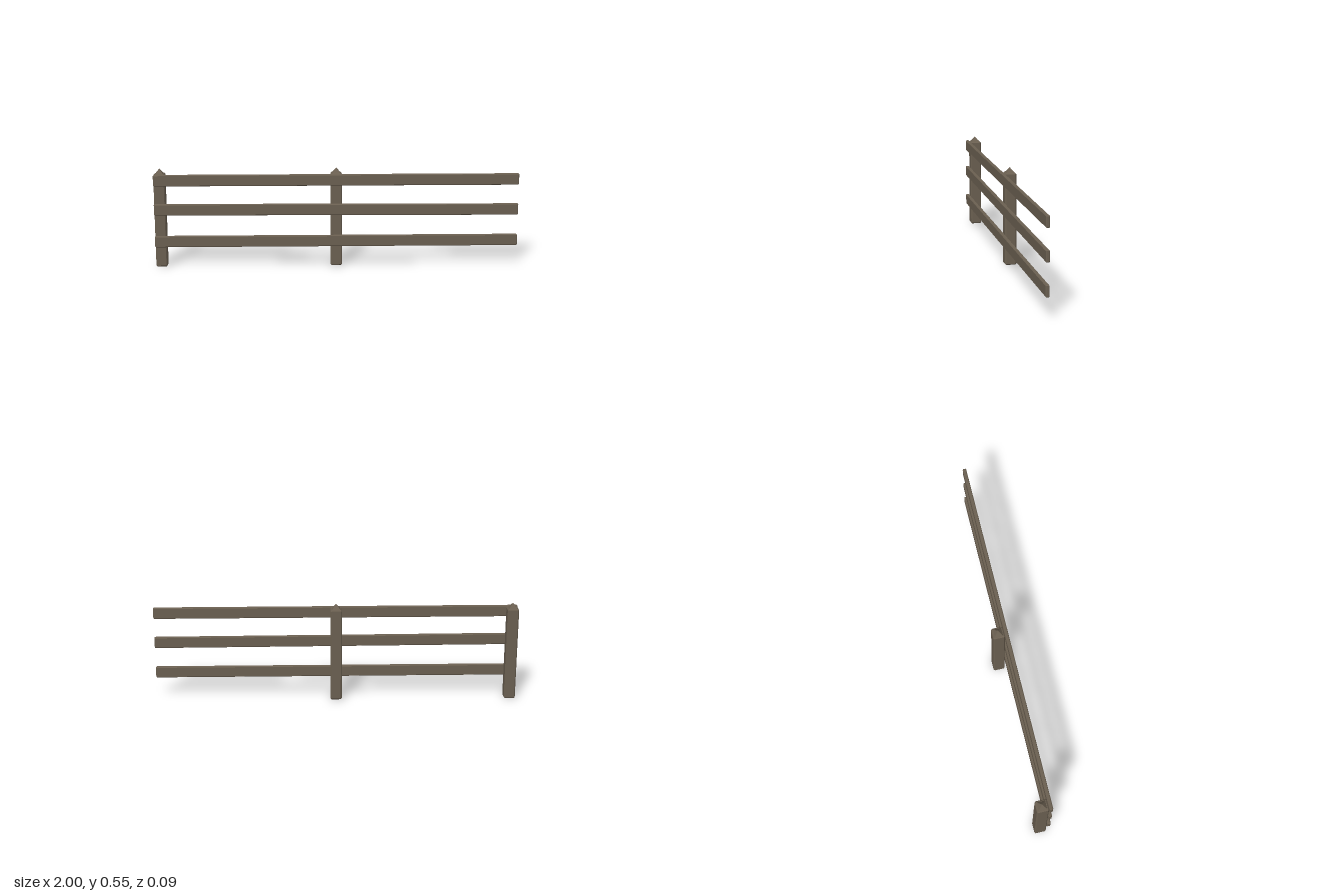
import * as THREE from 'three';
import { ConvexGeometry } from 'three/addons/geometries/ConvexGeometry.js';

const wood = new THREE.MeshStandardMaterial({ color: 0x6b6051 });
wood.name = 'weathered wood';

// Box with bevelled edges: each corner is cut into three points.
function bevelledBox(w, h, d, b) {
  const points = [];
  for (const sx of [-1, 1]) for (const sy of [-1, 1]) for (const sz of [-1, 1]) {
    const x = w / 2, y = h / 2, z = d / 2;
    points.push(
      new THREE.Vector3(sx * x, sy * (y - b), sz * (z - b)),
      new THREE.Vector3(sx * (x - b), sy * y, sz * (z - b)),
      new THREE.Vector3(sx * (x - b), sy * (y - b), sz * z)
    );
  }
  return new ConvexGeometry(points);
}

function part(name, geometry, x, y, z) {
  const mesh = new THREE.Mesh(geometry, wood);
  mesh.name = name;
  mesh.position.set(x, y, z);
  return mesh;
}

export function createModel() {
  const fence = new THREE.Group();
  fence.name = 'fence';

  // Square posts with a small pyramid on top
  const postGeometry = bevelledBox(0.062, 0.52, 0.064, 0.006);
  const capGeometry = new THREE.ConeGeometry(0.025 * Math.SQRT2, 0.032, 4, 1).toNonIndexed();
  capGeometry.rotateY(Math.PI / 4);
  capGeometry.computeVertexNormals();
  for (const [name, x] of [['endPost', -0.968], ['middlePost', -0.002]]) {
    const post = new THREE.Group();
    post.name = name;
    post.add(part('postBody', postGeometry, 0, 0.26, 0));
    post.add(part('postCap', capGeometry, 0, 0.533, 0));
    post.position.set(x, 0, -0.01);
    fence.add(post);
  }

  // Rails across the front, each sagging slightly towards the free end
  const railGeometry = bevelledBox(1.998, 0.062, 0.02, 0.004);
  const rails = [
    ['topRail', 0.4895, 0.003],
    ['middleRail', 0.3235, 0.01],
    ['bottomRail', 0.1465, 0.003],
  ];
  for (const [name, y, drop] of rails) {
    const rail = part(name, railGeometry, 0, y, 0.033);
    rail.rotation.z = -Math.atan(drop / 2);
    fence.add(rail);
  }
  return fence;
}
